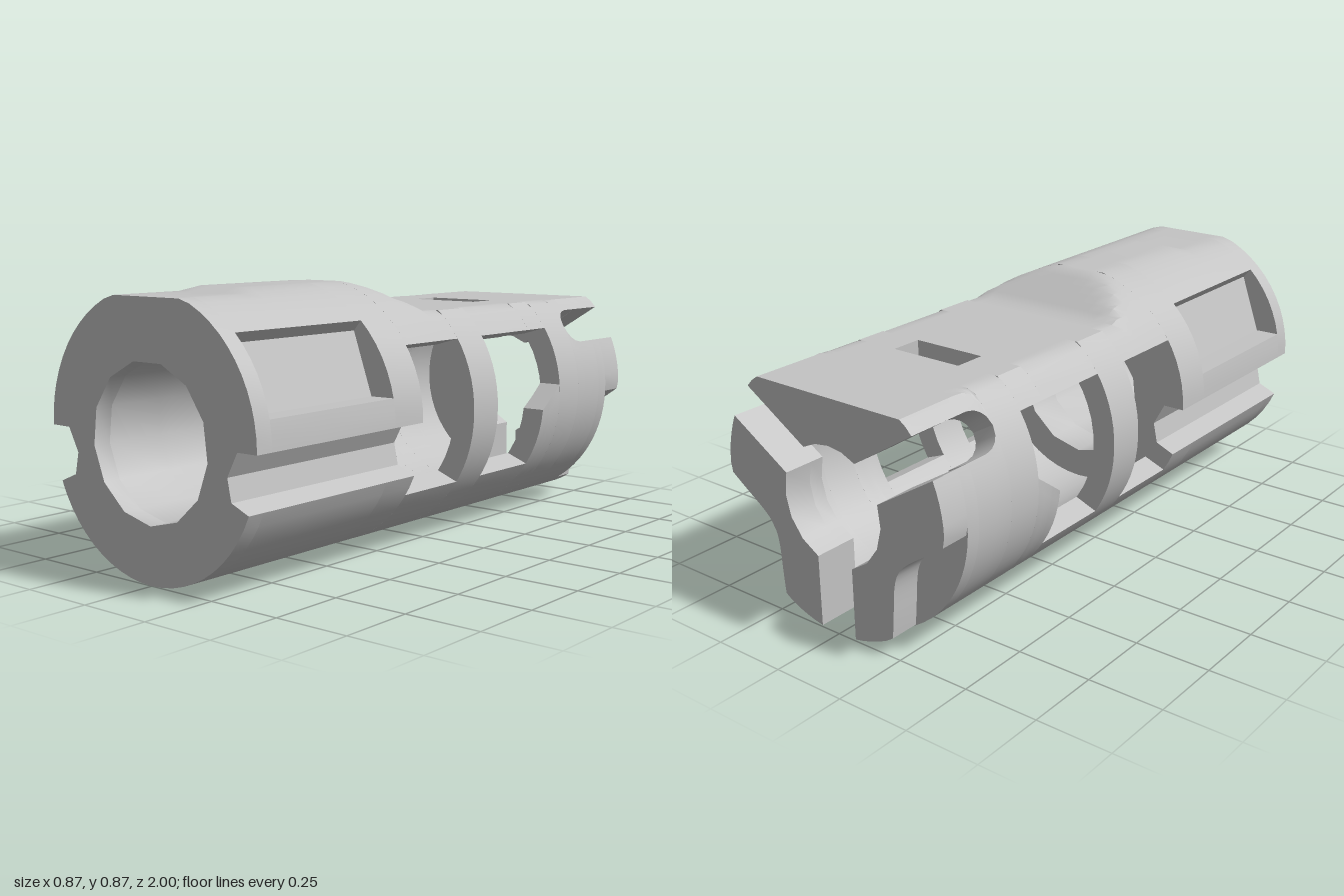
import * as THREE from 'three';
import { toCreasedNormals } from 'three/addons/utils/BufferGeometryUtils.js';

const RAD = Math.PI / 180;
const OUT_Y = 0.435, OUT_R = 0.435;   // outer tube
const BORE_Y = 0.425, BORE_R = 0.245; // front bore
const LIP_R = 0.195;                  // narrow rear lip
const CAV_R = 0.355, CAV_TOP = 0.69;  // wide chamber behind the bore
const lerp = THREE.MathUtils.lerp;
const asin = (v) => Math.asin(v) / RAD;

// height of the flattened top along the tube
const TOP = [[-1, 0.77], [0.04, 0.77], [0.22, 0.87], [0.69, 0.87], [0.74, 0.853], [1, 0.853]];
function topAt(z) {
  for (let i = 1; i < TOP.length; i++) {
    const [z0, y0] = TOP[i - 1], [z1, y1] = TOP[i];
    if (z <= z1) return lerp(y0, y1, (z - z0) / (z1 - z0));
  }
  return 0.853;
}

// points on the outer wall (optionally with the scooped rear recess)
function outerPoint(a, z, scoop) {
  let r = OUT_R + 0.01 * Math.max(0, Math.sin(a * RAD));
  if (scoop) {
    for (const c of [-30, 210]) r -= 0.14 * Math.max(0, 1 - ((a - c) / 29) ** 2);
  }
  return [r * Math.cos(a * RAD), Math.min(OUT_Y + r * Math.sin(a * RAD), topAt(z))];
}

// inner walls: radius, facet angle and point at an angle
const polar = (r, y) => (a) => [r * Math.cos(a * RAD), y + r * Math.sin(a * RAD)];
const BORE = { r: BORE_R, step: 27.7, point: polar(BORE_R, BORE_Y) };
const LIP = { r: LIP_R, step: 27.7, point: polar(LIP_R, BORE_Y) };
const CHAMBER = {
  r: CAV_R,
  step: 8,
  point: (a) => {
    const [x, y] = polar(CAV_R, OUT_Y)(a);
    return [x, Math.min(y, CAV_TOP)];
  },
};

function arc(f, a0, a1, n) {
  return Array.from({ length: n + 1 }, (_, i) => f(lerp(a0, a1, i / n)));
}
const count = (a0, a1, step) => Math.max(1, Math.round(Math.abs(a1 - a0) / step));
const outerArc = (z, a0, a1, n = count(a0, a1, 6), scoop = false) =>
  arc((a) => outerPoint(a, z, scoop), a0, a1, n);
const innerArc = (wall, a0, a1, n = count(a0, a1, wall.step)) => arc(wall.point, a0, a1, n);
const mirror = (pts) => pts.map(([x, y]) => [-x, y]).reverse();

// piece of ring between two edges, each given as a direction and sideways offset
function ringPiece(z, [d0, o0], [d1, o1], wall, scoop = false) {
  const from = (r) => d0 + asin(o0 / r), to = (r) => d1 + asin(o1 / r);
  return [
    ...outerArc(z, from(OUT_R), to(OUT_R), count(d0, d1, 5), scoop),
    ...innerArc(wall, to(wall.r), from(wall.r), count(d0, d1, wall.step)),
  ];
}

// joins cross-sections of equal point count into a closed solid
function loft(section, zs) {
  const rings = zs.map((z) => section(z).map(([x, y]) => new THREE.Vector3(x, y, z)));
  const pos = [];
  const tri = (...vs) => vs.forEach((v) => pos.push(v.x, v.y, v.z));
  for (let k = 1; k < rings.length; k++) {
    const lo = rings[k - 1], hi = rings[k];
    lo.forEach((a, i) => {
      const j = (i + 1) % lo.length;
      tri(a, lo[j], hi[j]);
      tri(a, hi[j], hi[i]);
    });
  }
  const cap = (ring, flip) => {
    const flat = ring.map((v) => new THREE.Vector2(v.x, v.y));
    for (const [a, b, c] of THREE.ShapeUtils.triangulateShape(flat, [])) {
      if (flip) tri(ring[a], ring[c], ring[b]);
      else tri(ring[a], ring[b], ring[c]);
    }
  };
  cap(rings[0], true);
  cap(rings[rings.length - 1], false);
  const g = new THREE.BufferGeometry();
  g.setAttribute('position', new THREE.Float32BufferAttribute(pos, 3));
  return toCreasedNormals(g, 0.6);
}

export function createModel() {
  const group = new THREE.Group();
  const metal = new THREE.MeshStandardMaterial({ color: 0xc4c4c4 });
  metal.name = 'grey metal';

  const add = (name, section, zs) => {
    const mesh = new THREE.Mesh(loft(section, zs), metal);
    mesh.name = name;
    group.add(mesh);
  };
  const addPair = (name, section, zs) => {
    add(name + 'Left', section, zs);
    add(name + 'Right', (z) => mirror(section(z)), zs);
  };

  // front barrel: side grooves, with flat-floored pockets in its middle
  const frontSection = (pockets) => (z) => {
    const half = [
      ...outerArc(z, -90, -22.7),
      [0.335, 0.295], [0.32, 0.365], [0.36, 0.44],
      ...outerArc(z, 0.7, 12.7),
      ...(pockets ? [[0.34, 0.53], [0.27, 0.73]] : outerArc(z, 18, 42)),
      ...outerArc(z, 47.7, 90),
    ];
    return [...half, ...mirror(half).slice(1), ...innerArc(BORE, 270, -90)];
  };
  add('frontCollar', frontSection(false), [0.94, 1]);
  add('pocketBarrel', frontSection(true), [0.39, 0.69, 0.74, 0.94]);
  add('barrelShoulder', frontSection(false), [0.25, 0.39]);

  // roof and floor beside the side windows, with slightly slanted sills
  const roof = (z) => [...outerArc(z, 33.8, 146.2), ...innerArc(CHAMBER, 141.7, 38.3)];
  const floor = (z) => [...outerArc(z, 212.7, 327.3), ...innerArc(CHAMBER, 324.7, 215.3)];
  add('frontWindowRoof', roof, [-0.03, 0.04, 0.07, 0.1, 0.13, 0.16, 0.19, 0.22, 0.25]);
  add('frontWindowFloor', floor, [-0.03, 0.25]);
  add('rearWindowRoof', roof, [-0.46, -0.17]);
  add('rearWindowFloor', floor, [-0.46, -0.17]);

  // thin rib between the windows
  add('windowRib', (z) => ringPiece(z, [-90, 0], [270, 0], CHAMBER), [-0.17, -0.03]);

  // roof either side of the top slot
  addPair('topSlotSide', (z) => [
    ...outerArc(z, 33.8, 73), [0.13, CAV_TOP], ...innerArc(CHAMBER, 45.9, 38.3),
  ], [-0.57, -0.46]);

  // slots have round front ends; the upper pair sits a little off centre
  const roundEnd = (z, h, zc) => h * Math.sqrt(Math.max(0, 1 - (Math.max(0, z - zc) / 0.07) ** 2));
  const bottomSlot = (z) => roundEnd(z, 0.07, -0.57);
  const upperSlot = (z) => roundEnd(z, 0.066, -0.77);
  const UPPER_MID = 0.026;

  // sloping lower corner of the rear window
  addPair('windowRamp', (z) => {
    const y = lerp(0.4, 0.48, (-0.46 - z) / 0.11) - OUT_Y, h = bottomSlot(z);
    return [
      ...outerArc(z, -90 + asin(h / OUT_R), asin(y / OUT_R), 16),
      ...innerArc(CHAMBER, asin(y / CAV_R), -90 + asin(h / CAV_R), 12),
    ];
  }, [-0.57, -0.54, -0.52, -0.507, -0.5, -0.46]);

  // rear barrel, split by the bottom slot
  add('rearBarrel', (z) =>
    ringPiece(z, [-90, bottomSlot(z)], [270, -bottomSlot(z)], CHAMBER), [-0.7, -0.57]);

  // three rear jaws between the slots, ending in inward lips
  const jaws = (name, zs, wall, scoop) => {
    add(name + 'Top', (z) => {
      const edge = UPPER_MID + upperSlot(z);
      return ringPiece(z, [30, edge], [150, -edge], wall);
    }, zs);
    addPair(name + 'Side', (z) =>
      ringPiece(z, [-90, bottomSlot(z)], [30, UPPER_MID - upperSlot(z)], wall, scoop), zs);
  };
  jaws('jaw', [-0.85, -0.77, -0.74, -0.72, -0.707, -0.7], CHAMBER, false);
  jaws('lip', [-0.9, -0.85], LIP, false);
  jaws('scoopedLip', [-1, -0.9], LIP, true);

  return group;
}
